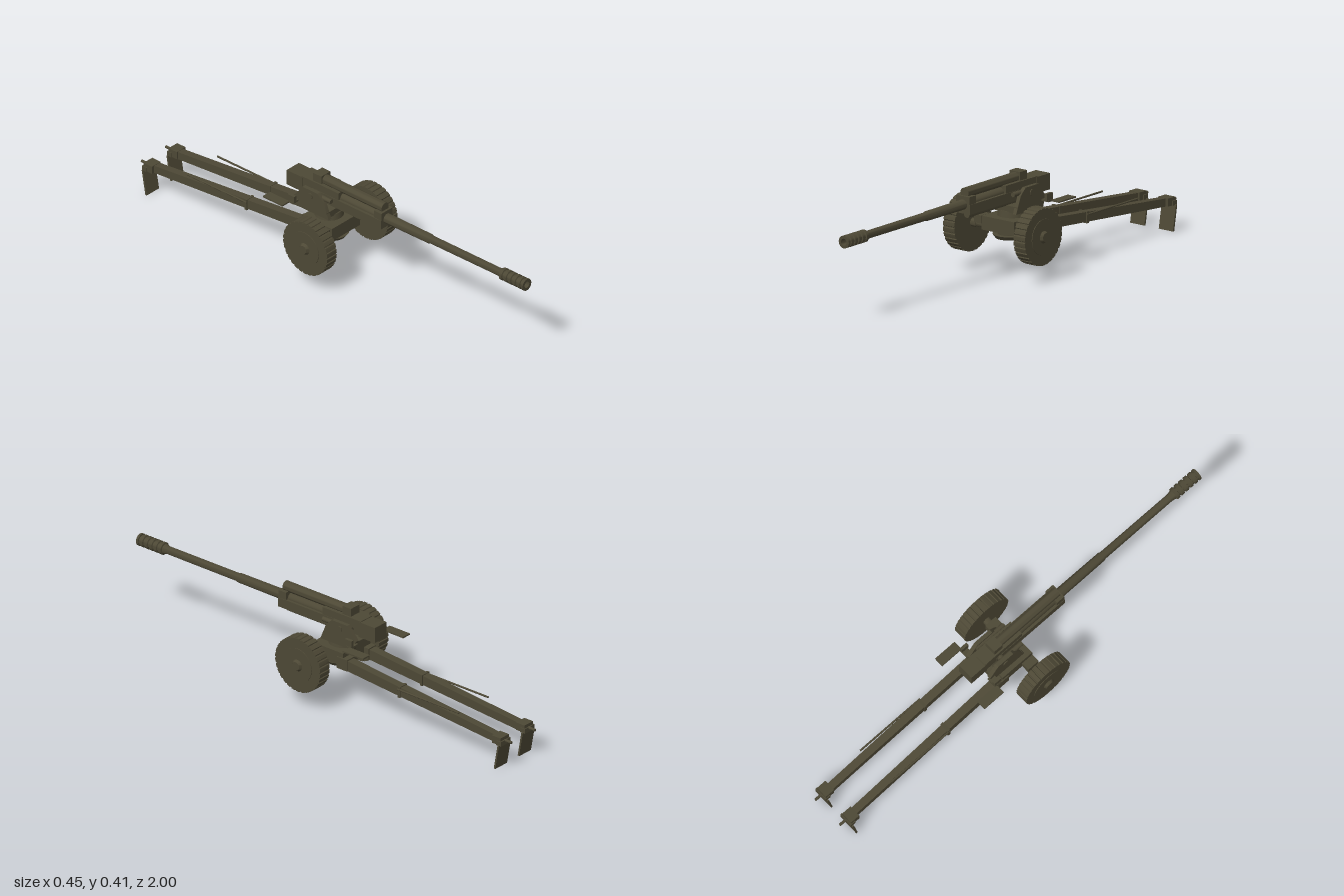
import * as THREE from 'three';
import { toCreasedNormals } from 'three/addons/utils/BufferGeometryUtils.js';

export function createModel() {
  const gun = new THREE.Group();
  gun.name = 'fieldGun';
  const olive = new THREE.MeshStandardMaterial({ color: 0x4d4835 });
  olive.name = 'olive paint';

  const add = (name, geo, x = 0, y = 0, z = 0, parent = gun) => {
    const m = new THREE.Mesh(toCreasedNormals(geo, 0.6), olive);
    m.name = name;
    m.position.set(x, y, z);
    parent.add(m);
    return m;
  };
  // Box from its limits on each axis
  const box = (name, x0, x1, y0, y1, z0, z1, parent) =>
    add(name, new THREE.BoxGeometry(x1 - x0, y1 - y0, z1 - z0),
      (x0 + x1) / 2, (y0 + y1) / 2, (z0 + z1) / 2, parent);
  const tubeZ = (name, r, z0, z1, x, y, parent, sides = 24) =>
    add(name, new THREE.CylinderGeometry(r, r, z1 - z0, sides).rotateX(Math.PI / 2), x, y, (z0 + z1) / 2, parent);
  // Cylinder along x, with r0 at x0 and r1 at x1
  const tubeX = (name, r0, r1, x0, x1, y, z, parent) =>
    add(name, new THREE.CylinderGeometry(r0, r1, x1 - x0, 28).rotateZ(Math.PI / 2), (x0 + x1) / 2, y, z, parent);
  // Beam whose cross-section changes from front to rear
  const beam = (name, f, r, parent) => {
    const g = new THREE.BoxGeometry(1, 1, 1);
    const p = g.attributes.position;
    for (let i = 0; i < p.count; i++) {
      const e = p.getZ(i) > 0 ? f : r;
      p.setXYZ(i, e.x + p.getX(i) * e.w, e.y + p.getY(i) * e.h, e.z);
    }
    g.computeVertexNormals();
    return add(name, g, 0, 0, 0, parent);
  };

  // Barrel with stepped taper, then ridged muzzle brake
  const profile = [[0, -0.18], [0.025, -0.18], [0.025, 0.24], [0.021, 0.25], [0.020, 0.48],
    [0.017, 0.49], [0.0165, 0.85], [0.02, 0.87]];
  for (let i = 0; i < 5; i++) {
    const z = 0.872 + i * 0.024;
    profile.push([0.026, z], [0.026, z + 0.013], [0.021, z + 0.015], [0.021, z + 0.022]);
  }
  profile.push([0.026, 0.99], [0.026, 1], [0.014, 1], [0.014, 0.96], [0, 0.96]);
  add('barrel', new THREE.LatheGeometry(profile.map(p => new THREE.Vector2(...p)), 24).rotateX(Math.PI / 2), 0, 0.34, 0);

  // Breech, cradle and recoil cylinders
  box('breech', -0.036, 0.036, 0.305, 0.372, -0.255, -0.17);
  box('cradle', -0.036, 0.036, 0.303, 0.343, -0.12, 0.25);
  box('cradleCollar', -0.034, 0.034, 0.31, 0.375, 0.21, 0.25);
  box('cradleRear', -0.034, 0.034, 0.31, 0.375, -0.18, 0.02);
  tubeZ('recuperator', 0.021, -0.1, 0.24, 0, 0.386);
  box('recuperatorBlock', -0.027, 0.027, 0.365, 0.41, -0.122, -0.078);
  tubeZ('recoilBuffer', 0.015, -0.1, 0.225, 0, 0.295);

  // Upper carriage: cheeks, floor and turntable
  const cheek = new THREE.Shape([[0.0, 0.257], [0.17, 0.257], [0.185, 0.3], [0.14, 0.357], [0.06, 0.357], [0.03, 0.33]]
    .map(p => new THREE.Vector2(...p)));
  box('carriageFloor', -0.07, 0.07, 0.257, 0.285, -0.17, -0.01);
  add('turntable', new THREE.CylinderGeometry(0.055, 0.06, 0.03, 28), 0, 0.246, -0.06);

  // Lower carriage, axle and firing pedestal
  box('lowerCarriage', -0.084, 0.084, 0.178, 0.235, -0.13, 0.03);
  tubeX('axle', 0.014, 0.014, -0.16, 0.16, 0.192, 0);
  add('pedestal', new THREE.CylinderGeometry(0.045, 0.045, 0.03, 28), 0, 0.17, -0.04);
  add('pedestalPlate', new THREE.CylinderGeometry(0.066, 0.054, 0.016, 28), 0, 0.154, -0.04);

  // Tyre outline with shallow tread lugs
  const tread = new THREE.Shape();
  const lugs = 30;
  for (let i = 0; i < lugs; i++) {
    [[0.1, 0.114], [0.2, 0.118], [0.85, 0.118], [0.95, 0.114]].forEach(([t, r], k) => {
      const a = (i + t) / lugs * Math.PI * 2;
      tread[i + k ? 'lineTo' : 'moveTo'](Math.cos(a) * r, Math.sin(a) * r);
    });
  }

  for (const s of [1, -1]) {
    const side = new THREE.Group();
    side.name = s > 0 ? 'leftSide' : 'rightSide';
    gun.add(side);
    const X = (a, b) => (s > 0 ? [a, b] : [-b, -a]);
    const sbox = (name, x0, x1, ...rest) => box(name, ...X(x0, x1), ...rest, side);
    const stube = (name, rIn, rOut, x0, x1, y, z) =>
      tubeX(name, ...(s > 0 ? [rIn, rOut] : [rOut, rIn]), ...X(x0, x1), y, z, side);

    // Cheek and trunnion
    const c = new THREE.ExtrudeGeometry(cheek, { depth: 0.017, bevelEnabled: false });
    c.rotateY(Math.PI / 2);
    add('cheek', c, s > 0 ? 0.053 : -0.07, 0, 0, side);
    stube('trunnion', 0.014, 0.014, 0.03, 0.074, 0.33, -0.1);
    tubeZ('balancer', 0.01, -0.15, 0.0, s * 0.053, 0.337, side, 16);

    // Wheel; CylinderGeometry's first radius lands on the inner (-x) end
    const t = new THREE.ExtrudeGeometry(tread, { depth: 0.058, bevelEnabled: false, curveSegments: 1 });
    t.rotateY(Math.PI / 2);
    add('tyre', t, s > 0 ? 0.152 : -0.21, 0.19, 0, side);
    stube('wheelDisc', 0.075, 0.074, 0.2, 0.2125, 0.19, 0);
    stube('hub', 0.027, 0.018, 0.21, 0.223, 0.19, 0);
    stube('axleCollar', 0.018, 0.018, 0.125, 0.153, 0.192, 0);
    sbox('suspensionBox', 0.09, 0.127, 0.2, 0.233, -0.03, 0.025);

    // Crew seat and its bracket
    sbox('seat', 0.103, 0.145, 0.282, 0.288, -0.285, -0.18);
    sbox('seatBracket', 0.09, 0.103, 0.286, 0.317, -0.19, -0.155);
    sbox('seatArm', 0.06, 0.105, 0.282, 0.29, -0.19, -0.16);

    // Trail leg with hinge, strap, handspike and spade
    sbox('trailHinge', 0.044, 0.089, 0.165, 0.215, -0.155, -0.1);
    beam('trail', { x: s * 0.067, y: 0.189, z: -0.14, w: 0.037, h: 0.045 },
      { x: s * 0.07, y: 0.119, z: -0.94, w: 0.032, h: 0.033 }, side);
    sbox('trailStrap', 0.047, 0.091, 0.139, 0.187, -0.432, -0.42);
    tubeZ('handspike', 0.004, -0.74, -0.42, s * 0.09, 0.175, side, 10);
    sbox('trailEnd', 0.048, 0.1, 0.106, 0.139, -0.965, -0.92);
    tubeZ('towingPin', 0.006, -1, -0.95, s * 0.072, 0.121, side, 12);
    beam('spadeHolder', { x: s * 0.074, y: 0.115, z: -0.945, w: 0.06, h: 0.02 },
      { x: s * 0.074, y: 0.115, z: -0.97, w: 0.06, h: 0.02 }, side);
    const spade = sbox('spade', 0.037, 0.11, 0, 0.11, -0.956, -0.948);
    spade.rotation.x = -0.18;
  }
  return gun;
}
